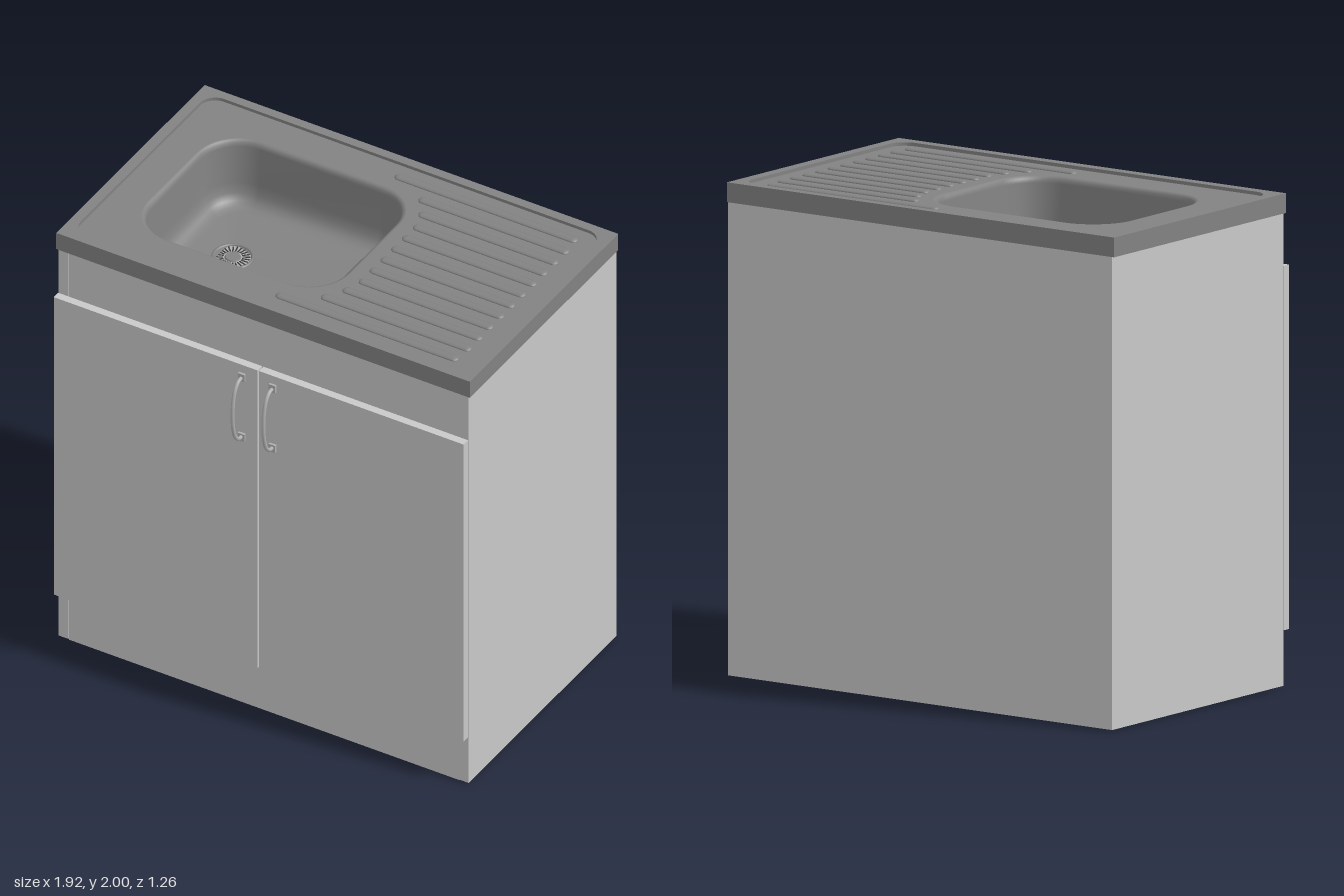
import * as THREE from 'three';

const mat = (name, color, side = THREE.FrontSide) => {
  const m = new THREE.MeshStandardMaterial({ color, side });
  m.name = name;
  return m;
};

// Rounded rectangle seen from above as a fixed number of points; y is -z
function outline(x0, x1, z0, z1, r) {
  const steps = r > 0 ? 12 : 0, pts = [];
  const corners = [[x1 - r, -z1 + r], [x1 - r, -z0 - r], [x0 + r, -z0 - r], [x0 + r, -z1 + r]];
  corners.forEach(([cx, cy], c) => {
    for (let i = 0; i <= steps; i++) {
      const a = (c - 1 + (steps ? i / steps : 0)) * Math.PI / 2;
      pts.push(new THREE.Vector2(cx + r * Math.cos(a), cy + r * Math.sin(a)));
    }
  });
  return pts;
}

export function createModel() {
  const model = new THREE.Group();
  const white = mat('cabinetBoard', 0xc8c8c8);
  const steel = mat('worktopSteel', 0x828282);
  const bowlSteel = mat('bowlSteel', 0x828282, THREE.DoubleSide);
  const chrome = mat('handleMetal', 0xb0b0b0);
  const dark = mat('drainSlots', 0x3c3c3c);

  const add = (name, geo, m, x = 0, y = 0, z = 0, parent = model) => {
    const mesh = new THREE.Mesh(geo, m);
    mesh.name = name;
    mesh.position.set(x, y, z);
    parent.add(mesh);
    return mesh;
  };
  // Box given by its limits
  const box = (name, m, x0, x1, y0, y1, z0, z1) =>
    add(name, new THREE.BoxGeometry(x1 - x0, y1 - y0, z1 - z0), m,
      (x0 + x1) / 2, (y0 + y1) / 2, (z0 + z1) / 2);

  // Carcass, open underneath
  box('rightSidePanel', white, -0.95, -0.905, 0.005, 1.92, -0.63, 0.512);
  box('leftSidePanel', white, 0.905, 0.95, 0.005, 1.92, -0.63, 0.512);
  box('backPanel', white, -0.905, 0.905, 0.005, 1.92, -0.63, -0.595);
  box('plinth', white, -0.905, 0.905, 0, 0.215, 0.465, 0.509);
  box('topRail', white, -0.905, 0.905, 1.68, 1.92, 0.465, 0.509);

  // Doors
  box('rightDoor', white, -0.952, -0.007, 0.23, 1.705, 0.513, 0.547);
  box('leftDoor', white, 0, 0.947, 0.23, 1.705, 0.513, 0.547);

  // Bow handles with small foot plates
  const bow = new THREE.CatmullRomCurve3([
    [1.355, 0.545], [1.357, 0.575], [1.385, 0.602], [1.44, 0.618], [1.5, 0.622],
    [1.56, 0.618], [1.615, 0.602], [1.643, 0.575], [1.645, 0.545],
  ].map(([y, z]) => new THREE.Vector3(0, y, z)));
  for (const [name, x] of [['rightHandle', -0.078], ['leftHandle', 0.065]]) {
    const handle = new THREE.Group();
    handle.name = name;
    handle.position.x = x;
    add('handleBow', new THREE.TubeGeometry(bow, 40, 0.008, 10), chrome, 0, 0, 0, handle);
    for (const y of [1.352, 1.648])
      add('handleFoot', new THREE.BoxGeometry(0.03, 0.036, 0.01), chrome, 0, y, 0.552, handle);
    model.add(handle);
  }

  // Worktop: raised border around a slightly sunken plate
  const panel = [-0.915, 0.912, -0.59, 0.47, 0.07];
  const bowl = [-0.765, 0.17, -0.44, 0.32, 0.19];
  const slab = (name, outer, hole, y0, y1) => {
    const shape = new THREE.Shape(outline(...outer));
    shape.holes.push(new THREE.Path(outline(...hole)));
    const g = new THREE.ExtrudeGeometry(shape, { depth: y1 - y0, bevelEnabled: false });
    g.rotateX(-Math.PI / 2);
    add(name, g, steel, 0, y0, 0);
  };
  slab('worktopBorder', [-0.96, 0.957, -0.63, 0.515, 0], panel, 1.92, 2);
  slab('sinkPlate', panel, bowl, 1.92, 1.986);

  // Draining ridges, the outer ones reaching further towards the bowl
  const starts = [-0.01, 0.15, 0.2, 0.225, 0.225, 0.225];
  for (let i = 0; i < 12; i++) {
    const x0 = starts[Math.min(i, 11 - i)], x1 = i % 11 ? 0.845 : 0.835, r = 0.021;
    const g = new THREE.CapsuleGeometry(r, x1 - x0 - 2 * r, 5, 12);
    g.rotateZ(Math.PI / 2);
    g.scale(1, 0.45, 1);
    add('drainingRidge', g, steel, (x0 + x1) / 2, 1.986, -0.52 + i * 0.0835);
  }

  // Bowl: inset outlines stacked downwards, closing on the drain circle
  const drain = { x: -0.49, z: -0.065, r: 0.08, y: 1.69 };
  const profile = [[0, 1.986], [0.008, 1.984], [0.016, 1.976], [0.02, 1.96], [0.03, 1.79],
    [0.038, 1.745], [0.055, 1.718], [0.08, 1.704], [0.11, 1.7]];
  const [bx0, bx1, bz0, bz1, br] = bowl;
  const rings = profile.map(([d, y]) =>
    outline(bx0 + d, bx1 - d, bz0 + d, bz1 - d, br - d).map((p) => [p.x, y, -p.y]));
  rings.push(rings[rings.length - 1].map(([x, , z]) => {
    const a = Math.atan2(z - drain.z, x - drain.x);
    return [drain.x + drain.r * Math.cos(a), drain.y, drain.z + drain.r * Math.sin(a)];
  }));
  const n = rings[0].length, index = [];
  for (let k = 0; k < rings.length - 1; k++)
    for (let i = 0; i < n; i++) {
      const a = k * n + i, b = k * n + (i + 1) % n;
      index.push(a, b, b + n, a, b + n, a + n);
    }
  const bowlGeo = new THREE.BufferGeometry();
  bowlGeo.setAttribute('position', new THREE.Float32BufferAttribute(rings.flat(2), 3));
  bowlGeo.setIndex(index);
  bowlGeo.computeVertexNormals();
  add('bowl', bowlGeo, bowlSteel);

  // Drain: flange, strainer disc and radial slots
  const waste = new THREE.Group();
  waste.name = 'drain';
  waste.position.set(drain.x, drain.y, drain.z);
  model.add(waste);
  add('drainFlange', new THREE.TorusGeometry(0.08, 0.007, 8, 40).rotateX(Math.PI / 2), steel, 0, 0, 0, waste);
  add('strainer', new THREE.CylinderGeometry(0.08, 0.08, 0.01, 40), chrome, 0, -0.006, 0, waste);
  add('strainerCentre', new THREE.CylinderGeometry(0.03, 0.034, 0.008, 24), steel, 0, 0.001, 0, waste);
  for (let i = 0; i < 24; i++) {
    const a = (i / 24) * Math.PI * 2;
    const slot = add('strainerSlot', new THREE.BoxGeometry(0.032, 0.003, 0.006), dark,
      0.054 * Math.cos(a), -0.001, -0.054 * Math.sin(a), waste);
    slot.rotation.y = a;
  }
  return model;
}
